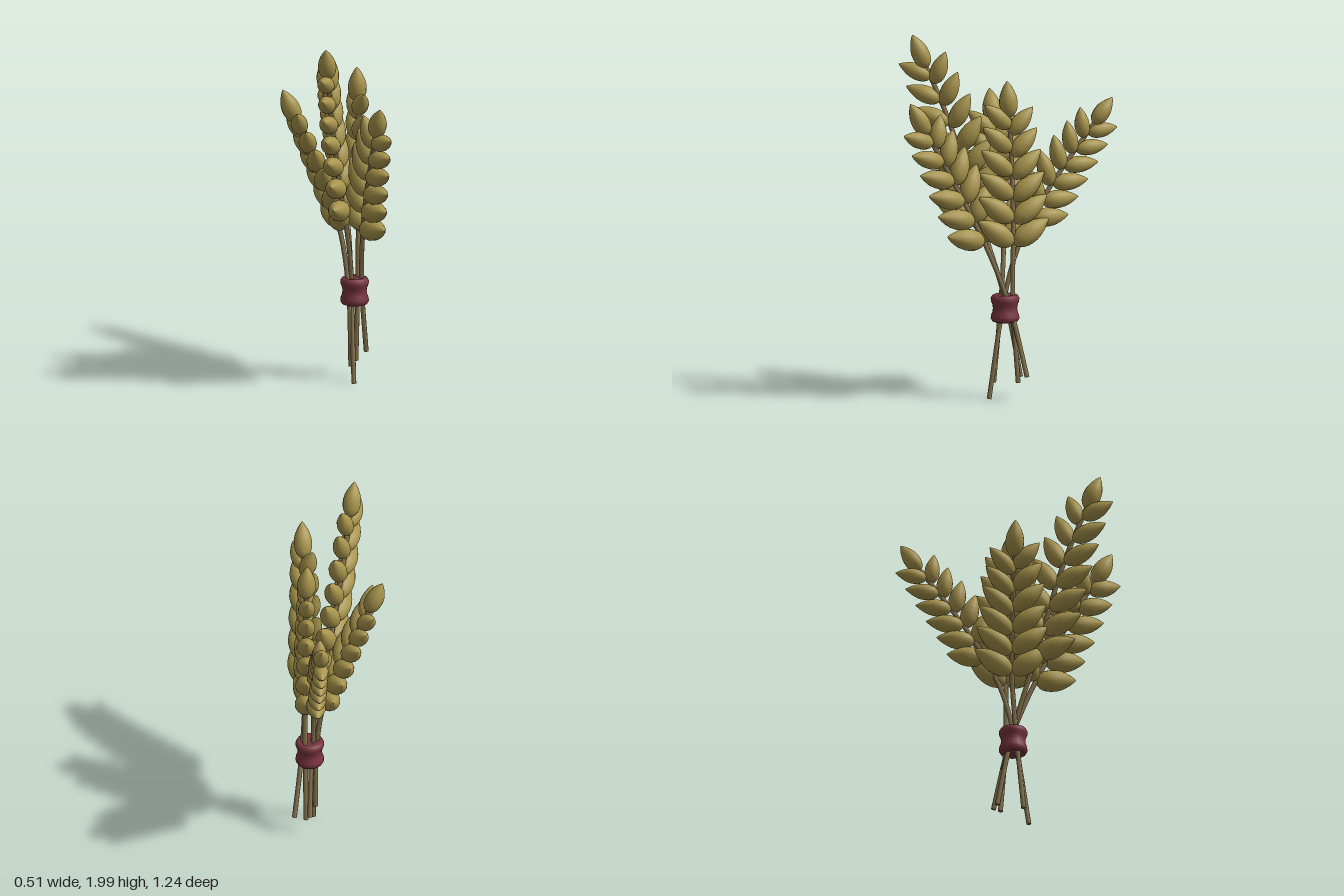
import * as THREE from 'three';

const grainMat = new THREE.MeshStandardMaterial({ color: 0xa8944c });
grainMat.name = 'golden grain';
const stalkMat = new THREE.MeshStandardMaterial({ color: 0x8a7750 });
stalkMat.name = 'dry straw';
const bandMat = new THREE.MeshStandardMaterial({ color: 0x78343f });
bandMat.name = 'dark red band';

const v = (x, y, z) => new THREE.Vector3(x, y, z);
const UP = v(0, 1, 0);

// Unit grain: rounded base at the origin, pointed tip at y = 1, radius 1
const grainProfile = new THREE.SplineCurve([
  [0, 0], [0.45, 0.05], [0.84, 0.18], [1, 0.38], [0.9, 0.6], [0.56, 0.8], [0.21, 0.94], [0, 1],
].map(([r, y]) => new THREE.Vector2(r, y))).getPoints(14);
grainProfile.forEach((p) => { p.x = Math.max(p.x, 0); });
const grainGeo = new THREE.LatheGeometry(grainProfile, 14);

function addGrain(group, name, base, dir, length, radius) {
  const mesh = new THREE.Mesh(grainGeo, grainMat);
  mesh.name = name;
  mesh.position.copy(base);
  mesh.quaternion.setFromUnitVectors(UP, dir);
  mesh.scale.set(radius, length, radius);
  group.add(mesh);
}

// Each ear: stalk path from cut end to tip, direction of its leading row of
// grains, height of the lowest grains, number of pairs and grain size
const EARS = [
  { path: [[0.2, 0.12, -0.2], [0.183, 0.52, -0.125], [0.14, 0.82, -0.045], [0.087, 1.06, 0.02], [0.005, 1.5, 0.14], [-0.08, 1.99, 0.33]],
    side: [-0.45, 0, 0.89], start: 0.98, pairs: 7, size: 1 },
  { path: [[0.285, 0.13, -0.21], [0.238, 0.52, -0.125], [0.212, 0.85, 0.0], [0.2, 1.23, 0.19], [0.2, 1.66, 0.43]],
    side: [0.3, 0, 0.95], start: 0.875, pairs: 6, size: 1.02 },
  { path: [[0.22, 0.09, -0.18], [0.222, 0.52, -0.15], [0.225, 1.0, -0.15], [0.22, 1.4, -0.138], [0.21, 1.76, -0.12]],
    side: [0, 0, 1], start: 0.855, pairs: 6, size: 1.02 },
  { path: [[0.17, 0.0, -0.03], [0.175, 0.52, -0.11], [0.18, 0.8, -0.18], [0.175, 1.1, -0.34], [0.17, 1.63, -0.735]],
    side: [0, 0, -1], start: 0.98, pairs: 6, size: 0.9 },
  { path: [[0.16, 0.09, -0.06], [0.157, 0.52, -0.1], [0.115, 0.85, -0.13], [0.03, 1.1, -0.14], [-0.2, 1.65, -0.15]],
    side: [0, 0, 1], start: 0.87, pairs: 6, size: 1.02 },
];

function makeEar({ path, side, start, pairs, size }) {
  const ear = new THREE.Group();
  ear.name = 'wheatEar';
  const curve = new THREE.CatmullRomCurve3(path.map((p) => v(...p)));
  const total = curve.getLength();
  const uTip = 1 - (0.2 * size) / total;

  // Stalk, ending inside the tip grain
  const uEnd = uTip + 0.05 / total;
  const points = [];
  for (let i = 0; i <= 10; i++) points.push(curve.getPointAt((i / 10) * uEnd));
  const stalk = new THREE.Mesh(
    new THREE.TubeGeometry(new THREE.CatmullRomCurve3(points), 24, 0.0135, 8), stalkMat);
  stalk.name = 'stalk';
  ear.add(stalk);

  // Cut end closing the stalk
  const cut = new THREE.Mesh(new THREE.CircleGeometry(0.0135, 8), stalkMat);
  cut.name = 'stalkCutEnd';
  cut.position.copy(points[0]);
  cut.quaternion.setFromUnitVectors(v(0, 0, 1), curve.getTangentAt(0).negate());
  ear.add(cut);

  // Height at which the grains begin
  let uStart = 0;
  while (curve.getPointAt(uStart).y < start) uStart += 0.005;

  // Pairs of grains, smaller and steeper towards the tip, one row set ahead
  const uTop = uTip - 0.075 / total;
  for (let i = 0; i < pairs; i++) {
    const t = i / (pairs - 1);
    for (const s of [-1, 1]) {
      const u = THREE.MathUtils.lerp(uStart, uTop, t) + (s * 0.018 * t) / total;
      const tangent = curve.getTangentAt(u);
      const out = v(...side).addScaledVector(tangent, -v(...side).dot(tangent)).normalize();
      const angle = THREE.MathUtils.lerp(0.98, 0.77, t);
      const dir = tangent.clone().multiplyScalar(Math.cos(angle))
        .addScaledVector(out, s * Math.sin(angle)).normalize();
      addGrain(ear, 'sideGrain', curve.getPointAt(u), dir,
        size * THREE.MathUtils.lerp(0.238, 0.192, t * t),
        size * THREE.MathUtils.lerp(0.059, 0.046, t));
    }
  }

  // Single grain at the tip
  const tipBase = curve.getPointAt(uTip);
  addGrain(ear, 'tipGrain', tipBase, curve.getPointAt(1).sub(tipBase).normalize(),
    0.2 * size, 0.05 * size);
  return ear;
}

export function createModel() {
  const model = new THREE.Group();
  model.name = 'wheatBundle';
  EARS.forEach((ear) => model.add(makeEar(ear)));

  // Pinched band with rounded lips tying the stalks together
  const bandProfile = [
    [0, 0.012], [0.04, 0.006], [0.058, 0.001], [0.07, 0.006], [0.078, 0.02], [0.077, 0.037], [0.069, 0.057],
    [0.066, 0.077], [0.069, 0.097], [0.077, 0.117], [0.078, 0.134], [0.07, 0.148], [0.058, 0.153], [0.04, 0.148], [0, 0.142],
  ].map(([r, y]) => new THREE.Vector2(r, y));
  const band = new THREE.Mesh(new THREE.LatheGeometry(bandProfile, 20), bandMat);
  band.name = 'band';
  band.position.set(0.195, 0.425, -0.113);
  model.add(band);
  return model;
}
